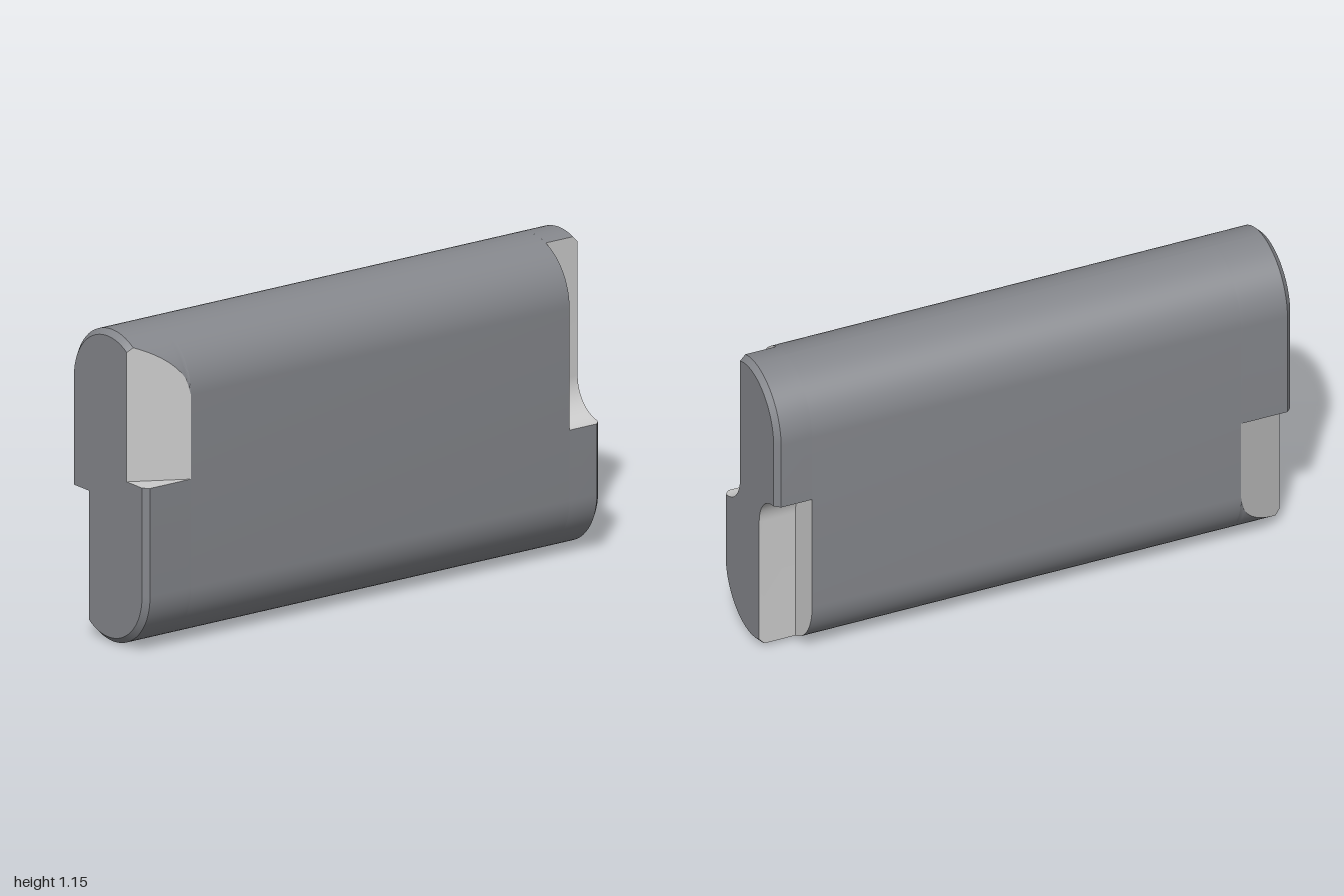
import * as THREE from 'three';
import { toCreasedNormals } from 'three/addons/utils/BufferGeometryUtils.js';

const H = 1.15, R = 0.22, CHAMFER = 0.02;
const WEDGE_Y = 0.62, WEDGE_X = -0.8, WEDGE_Z = 0.11;            // angled notch, right end
const SLOT_X = 0.86, SLOT_Z = 0.08, SLOT_Y = 0.48, FILLET = 0.14; // filleted notch, left end
const STEPS = 20;

// Points [z, y] on an arc
function arc(cz, cy, r, a0, a1) {
  return Array.from({ length: STEPS + 1 }, (_, i) => {
    const a = a0 + (a1 - a0) * i / STEPS;
    return [cz + r * Math.cos(a), cy + r * Math.sin(a)];
  });
}
const lowerArc = (r) => arc(0, R, r, -Math.PI / 2, 0);
const upperArc = (r, z) => arc(0, H - R, r, Math.acos(Math.min(1, z / r)), Math.PI / 2);

// Front half of the cross-section at x, split into lower shell, notch and upper shell
function wedgeSection(x) {
  const r = R - Math.max(0, CHAMFER - (x + 1));
  const z = Math.min(r, WEDGE_Z + (R - WEDGE_Z) * (x + 1) / (WEDGE_X + 1));
  const upper = upperArc(r, z);
  return { lower: [...lowerArc(r), [r, WEDGE_Y]], notch: [[r, WEDGE_Y], [z, WEDGE_Y], upper[0]], upper };
}
function slotSection(x) {
  const r = R - Math.max(0, x - (1 - CHAMFER));
  const upper = upperArc(r, SLOT_Z);
  const start = 1.5 * Math.PI - Math.asin((R - r) / FILLET);
  const fillet = arc(R, SLOT_Y + FILLET, FILLET, start, Math.PI);
  return { lower: [...lowerArc(r), fillet[0]], notch: [...fillet, upper[0]], upper };
}

// Skin between matching rows of points along x
function loft(xs, rows) {
  const pos = [];
  const put = (i, j) => pos.push(xs[i], rows[i][j][1], rows[i][j][0]);
  for (let i = 0; i < xs.length - 1; i++) {
    for (let j = 0; j < rows[i].length - 1; j++) {
      put(i, j); put(i + 1, j); put(i + 1, j + 1);
      put(i, j); put(i + 1, j + 1); put(i, j + 1);
    }
  }
  const g = new THREE.BufferGeometry();
  g.setAttribute('position', new THREE.Float32BufferAttribute(pos, 3));
  return toCreasedNormals(g, Math.PI / 7);
}

// Flat face at x, looking along dir (+1 or -1)
function cap(points, x, dir) {
  const shape = new THREE.Shape(points.map(([z, y]) => new THREE.Vector2(-dir * z, y)));
  return new THREE.ShapeGeometry(shape).rotateY(dir * Math.PI / 2).translate(x, 0, 0);
}

export function createModel() {
  const bodyMat = new THREE.MeshStandardMaterial({ color: 0x85878c });
  const notchMat = new THREE.MeshStandardMaterial({ color: 0xcccccc });
  const model = new THREE.Group();
  model.name = 'notchedBar';
  const half = new THREE.Group();
  half.name = 'frontHalf';
  const add = (name, geometry, material) => {
    const mesh = new THREE.Mesh(geometry, material);
    mesh.name = name;
    half.add(mesh);
  };

  // Long middle
  const full = [...lowerArc(R), ...upperArc(R, R)];
  add('middleShell', loft([WEDGE_X, SLOT_X], [full, full]), bodyMat);

  // Both notched ends, with chamfered rims
  const wedgeXs = [-1, -1 + CHAMFER];
  for (let i = 1; i <= 12; i++) wedgeXs.push(-0.98 + (WEDGE_X + 0.98) * i / 12);
  const ends = [
    { name: 'wedge', xs: wedgeXs, section: wedgeSection, x: -1 },
    { name: 'slot', xs: [SLOT_X, 1 - CHAMFER, 1], section: slotSection, x: 1 },
  ];
  for (const { name, xs, section, x } of ends) {
    const sections = xs.map(section);
    for (const part of ['lower', 'notch', 'upper']) {
      add(name + (part === 'notch' ? 'Notch' : part === 'lower' ? 'LowerShell' : 'UpperShell'),
        loft(xs, sections.map((s) => s[part])), part === 'notch' ? notchMat : bodyMat);
    }
    const s = section(x);
    add(name + 'EndFace', cap([...s.lower, ...s.notch.slice(1), ...s.upper.slice(1)], x, x), bodyMat);
  }

  // Step face closing the slot
  const slot = slotSection(SLOT_X);
  const outer = arc(0, H - R, R, Math.acos(SLOT_Z / R), 0);
  add('slotStepFace', cap([...slot.notch, ...outer.slice(1)], SLOT_X, 1), notchMat);

  // The back half is the front turned half a turn about the long axis
  const back = half.clone();
  back.name = 'backHalf';
  back.rotation.x = Math.PI;
  back.position.y = H;
  model.add(half, back);
  return model;
}
